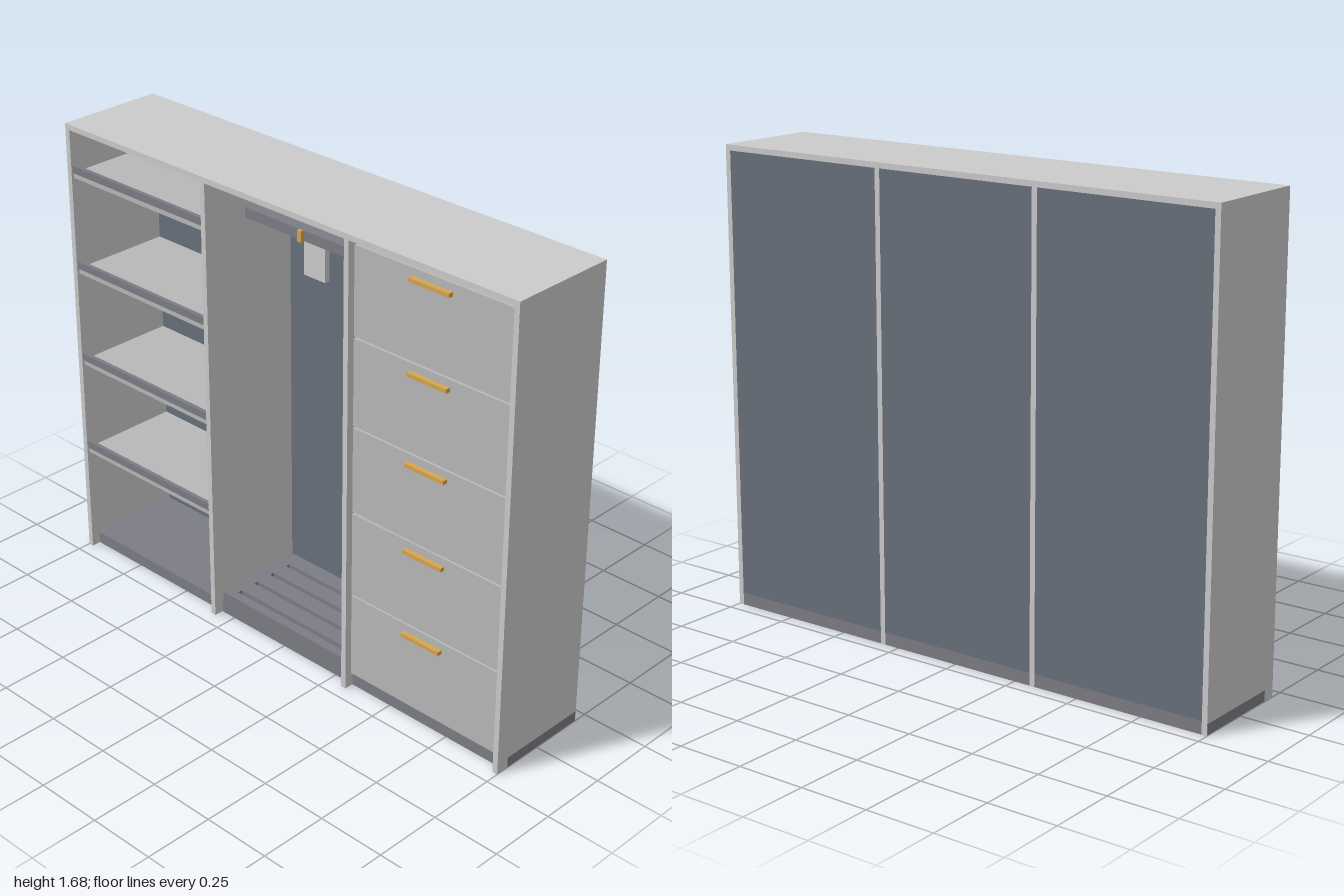
import * as THREE from 'three';

const material = (color) => new THREE.MeshStandardMaterial({ color });

export function createModel() {
  const root = new THREE.Group();
  root.name = 'wardrobe';
  const grey = material(0xcccccc);
  const front = material(0xb8b8b8);
  const dark = material(0x7c7c84);
  const slate = material(0x69707c);
  const gold = material(0xd6a550);

  // Box given by its lower and upper limits on each axis
  const box = (name, mat, [x0, x1], [y0, y1], [z0, z1], parent = root) => {
    const mesh = new THREE.Mesh(new THREE.BoxGeometry(x1 - x0, y1 - y0, z1 - z0), mat);
    mesh.position.set((x0 + x1) / 2, (y0 + y1) / 2, (z0 + z1) / 2);
    mesh.name = name;
    parent.add(mesh);
    return mesh;
  };

  // Carcass: top, sides and two dividers
  box('topPanel', grey, [-1, 1], [1.66, 1.68], [-0.2, 0.2]);
  const uprights = [[-1, -0.98], [-0.332, -0.312], [0.308, 0.328], [0.98, 1]];
  uprights.forEach((x, i) => {
    const outer = i === 0 || i === 3;
    box(outer ? 'sidePanel' : 'divider', grey, x, [0, 1.66], [-0.2, 0.2]);
  });

  // Plinth and back panel of each bay
  for (let i = 0; i < 3; i++) {
    const bay = [uprights[i][1], uprights[i + 1][0]];
    box('basePanel', dark, bay, [0, 0.045], [-0.2, 0.165]);
    box('backPanel', slate, bay, [0.045, 1.66], [-0.2, -0.19]);
  }
  // Plinth ends showing on the outer sides
  for (const s of [-1, 1]) {
    const end = box('plinthEnd', dark, [-0.0005, 0.0005], [0.002, 0.04], [-0.198, 0.15]);
    end.position.x = s;
  }

  // Left bay: four shelves, each with a dark raised lip
  for (let i = 0; i < 4; i++) {
    const y = 0.421 + i * 0.3605;
    const shelf = new THREE.Group();
    shelf.name = 'shelf';
    box('shelfBoard', front, [-0.98, -0.332], [y - 0.02, y], [-0.19, 0.19], shelf);
    box('shelfLip', dark, [-0.98, -0.332], [y, y + 0.027], [0.18, 0.195], shelf);
    root.add(shelf);
  }
  // Pegs on the back wall below the top shelf
  for (const x of [-0.88, -0.4]) {
    const peg = new THREE.Mesh(new THREE.CylinderGeometry(0.009, 0.009, 0.03, 16), dark);
    peg.rotation.x = Math.PI / 2;
    peg.position.set(x, 1.45, -0.175);
    peg.name = 'peg';
    root.add(peg);
  }

  // Middle bay: hanging rail, hook and hanging tag
  box('hangingRail', dark, [-0.312, 0.308], [1.485, 1.522], [-0.025, 0.02]);
  box('hook', gold, [-0.06, -0.042], [1.482, 1.522], [0.02, 0.032]);
  box('hangingTag', grey, [-0.05, 0.045], [1.36, 1.485], [-0.01, 0.01]);

  // Middle bay: slotted floor platform
  const deck = new THREE.Shape([
    [-0.304, -0.165], [0.3, -0.165], [0.3, 0.19], [-0.304, 0.19],
  ].map(([x, y]) => new THREE.Vector2(x, y)));
  for (let i = 0; i < 4; i++) {
    const y = -0.13 + i * 0.08;
    deck.holes.push(new THREE.Path([
      [-0.265, y], [-0.265, y + 0.018], [0.26, y + 0.018], [0.26, y],
    ].map(([px, py]) => new THREE.Vector2(px, py))));
  }
  const platform = new THREE.Mesh(
    new THREE.ExtrudeGeometry(deck, { depth: 0.04, bevelEnabled: false }), dark);
  platform.rotation.x = -Math.PI / 2;
  platform.position.y = 0.045;
  platform.name = 'slottedPlatform';
  root.add(platform);

  // Right bay: five drawers with bar handles
  for (let i = 0; i < 5; i++) {
    const y = 0.06 + i * 0.318;
    const drawer = new THREE.Group();
    drawer.name = 'drawer';
    box('drawerFront', front, [0.336, 0.972], [y, y + 0.311], [0.16, 0.182], drawer);
    box('drawerBody', dark, [0.33, 0.978], [y - 0.004, y + 0.314], [-0.18, 0.16], drawer);
    box('drawerHandle', gold, [0.572, 0.734], [y + 0.27, y + 0.284], [0.182, 0.2], drawer);
    root.add(drawer);
  }
  return root;
}
